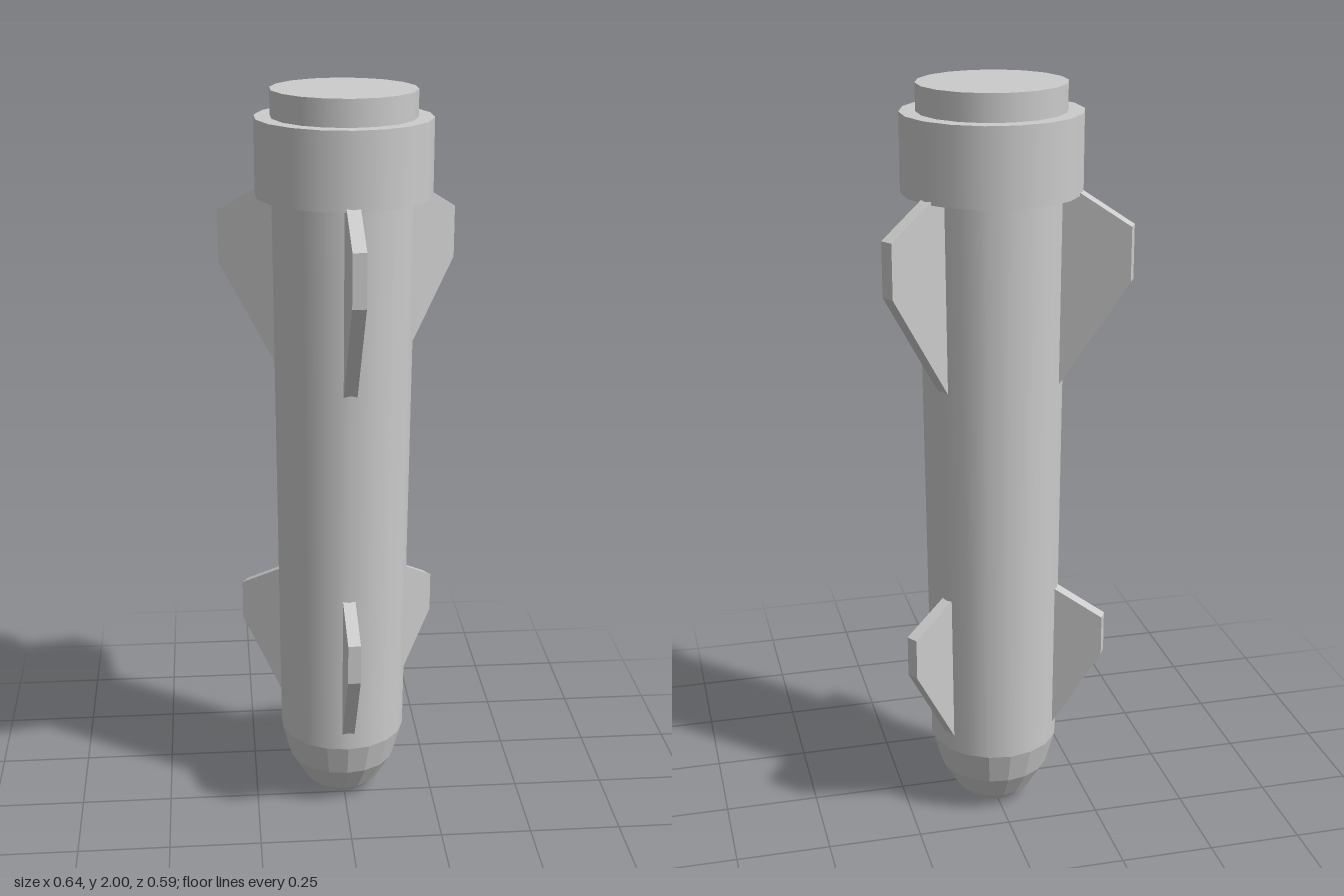
import * as THREE from 'three';

const SIDES = 18;
const smooth = new THREE.MeshStandardMaterial({ color: 0xcccccc });
const faceted = new THREE.MeshStandardMaterial({ color: 0xcccccc, flatShading: true });

function add(parent, name, geometry, material) {
  const mesh = new THREE.Mesh(geometry, material);
  mesh.name = name;
  parent.add(mesh);
  return mesh;
}

// Upright cylinder or frustum spanning y0..y1
function drum(parent, name, r0, r1, y0, y1, open, material = smooth) {
  const geometry = new THREE.CylinderGeometry(r1, r0, y1 - y0, SIDES, 1, open);
  geometry.translate(0, (y0 + y1) / 2, 0);
  return add(parent, name, geometry, material);
}

// Three equal fins around the axis; profile points are [radius, height]
function finSet(parent, name, profile, thickness) {
  const shape = new THREE.Shape(profile.map(([r, y]) => new THREE.Vector2(r, y)));
  const geometry = new THREE.ExtrudeGeometry(shape, { depth: thickness, bevelEnabled: false });
  geometry.translate(0, 0, -thickness / 2);
  for (let i = 0; i < 3; i++) {
    const fin = add(parent, name + (i + 1), geometry, faceted);
    fin.rotation.y = (i * Math.PI * 2) / 3 - Math.PI / 2;
  }
}

export function createModel() {
  const model = new THREE.Group();
  model.name = 'finnedRocket';

  // Whole assembly sits off-centre because only one fin points forward
  const rocket = new THREE.Group();
  rocket.name = 'rocket';
  rocket.position.set(-0.003, 0, -0.065);
  rocket.rotation.set(0, 0.028, -0.0037);
  model.add(rocket);

  // Slightly tapering body, closed at the top
  drum(rocket, 'body', 0.174, 0.19, 0.2, 2, false);

  // Wide collar near the top
  drum(rocket, 'collar', 0.231, 0.231, 1.73, 1.93, false);

  // Rounded, faceted nose with a flat tip
  const nose = [[0, 0], [0.062, 0], [0.104, 0.035], [0.149, 0.11], [0.174, 0.2]];
  add(rocket, 'nose', new THREE.LatheGeometry(nose.map(([r, y]) => new THREE.Vector2(r, y)), SIDES), faceted);

  // Upper and lower fins, rooted inside the body
  finSet(rocket, 'upperFin', [[0.15, 1.19], [0.36, 1.52], [0.36, 1.66], [0.2, 1.755], [0.15, 1.755]], 0.036);
  finSet(rocket, 'lowerFin', [[0.15, 0.21], [0.305, 0.475], [0.305, 0.585], [0.175, 0.655], [0.15, 0.655]], 0.034);

  return model;
}
